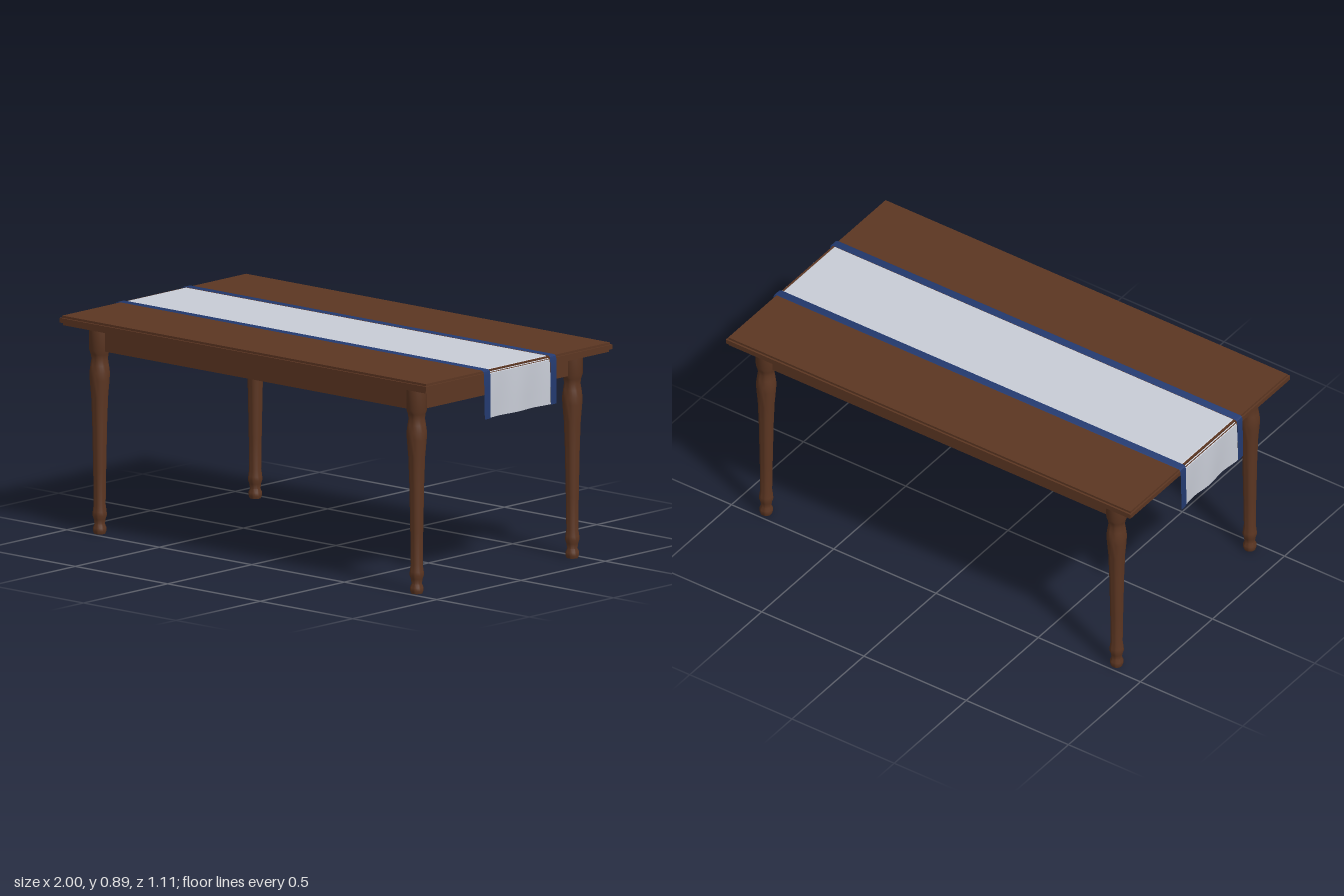
import * as THREE from 'three';
import { toCreasedNormals } from 'three/addons/utils/BufferGeometryUtils.js';

export function createModel() {
  const table = new THREE.Group();
  table.name = 'diningTable';
  const material = (name, color, side = THREE.FrontSide) => {
    const m = new THREE.MeshStandardMaterial({ color, side });
    m.name = name;
    return m;
  };
  const wood = material('walnut wood', 0x5c3622);
  const cloth = material('pale cloth', 0xc8ccd6, THREE.DoubleSide);
  const border = material('navy border', 0x233a70, THREE.DoubleSide);

  const add = (name, geometry, mat, x = 0, y = 0, z = 0) => {
    const mesh = new THREE.Mesh(geometry, mat);
    mesh.name = name;
    mesh.position.set(x, y, z);
    table.add(mesh);
    return mesh;
  };
  const box = (name, w, y0, y1, d, x = 0, z = 0) =>
    add(name, new THREE.BoxGeometry(w, y1 - y0, d), wood, x, (y0 + y1) / 2, z);

  // Table top with a stepped edge
  box('tableTopLowerStep', 1.96, 0.846, 0.857, 1.09);
  box('tableTopEdge', 1.98, 0.857, 0.876, 1.108);
  box('tableTopSurface', 1.966, 0.876, 0.885, 1.092);

  // Apron rails between the legs
  for (const s of [-1, 1]) {
    box('longApron', 1.71, 0.75, 0.847, 0.03, 0, s * 0.46);
    box('shortApron', 0.03, 0.75, 0.847, 0.92, s * 0.855, 0);
  }

  // Turned legs: radius, height
  const legProfile = [
    [0, 0], [0.023, 0], [0.027, 0.012], [0.027, 0.025], [0.021, 0.04], [0.024, 0.06],
    [0.029, 0.075], [0.028, 0.09], [0.024, 0.12], [0.026, 0.25], [0.03, 0.45],
    [0.034, 0.56], [0.04, 0.63], [0.041, 0.66], [0.037, 0.69], [0.033, 0.715],
    [0.036, 0.735], [0.042, 0.752], [0.042, 0.847],
  ].map(([r, y]) => new THREE.Vector2(r, y));
  const legGeometry = toCreasedNormals(new THREE.LatheGeometry(legProfile, 24), 0.7);
  for (const x of [-0.857, 0.857]) {
    for (const z of [-0.462, 0.462]) add('leg', legGeometry, wood, x, 0, z);
  }

  // Cloth strip swept along an x-y path, with ripples growing down the drop
  const strip = (name, path, z0, z1, segments, mat) => {
    const positions = [], index = [], n = segments + 1;
    path.forEach(([x, y], i) => {
      for (let j = 0; j < n; j++) {
        const z = z0 + ((z1 - z0) * j) / segments;
        const drop = Math.min(1, Math.max(0, (0.87 - y) / 0.15));
        const ripple = 0.004 * drop * Math.sin(z * 32 + Math.sign(x));
        positions.push(x + ripple, y, z);
        if (i < path.length - 1 && j < segments) {
          const a = i * n + j, b = a + n;
          index.push(a, a + 1, b, b, a + 1, b + 1);
        }
      }
    });
    const geometry = new THREE.BufferGeometry();
    geometry.setAttribute('position', new THREE.Float32BufferAttribute(positions, 3));
    geometry.setIndex(index);
    add(name, toCreasedNormals(geometry, 0.6), mat);
  };
  const mirrorPath = (half) => [...half.map(([x, y]) => [-x, y]).reverse(), ...half];

  // Table runner: the middle tucks slightly into the table edge, the borders lie over it
  const middle = mirrorPath([[0.972, 0.8875], [0.982, 0.879], [0.993, 0.872], [0.995, 0.82], [0.995, 0.75], [0.995, 0.692]]);
  const edge = mirrorPath([[0.984, 0.889], [0.993, 0.884], [0.996, 0.87], [0.996, 0.82], [0.996, 0.75], [0.996, 0.69]]);
  strip('runnerMiddle', middle, -0.178, 0.178, 32, cloth);
  strip('runnerBorder', edge, 0.178, 0.215, 4, border);
  strip('runnerBorder', edge, -0.215, -0.178, 4, border);

  return table;
}
